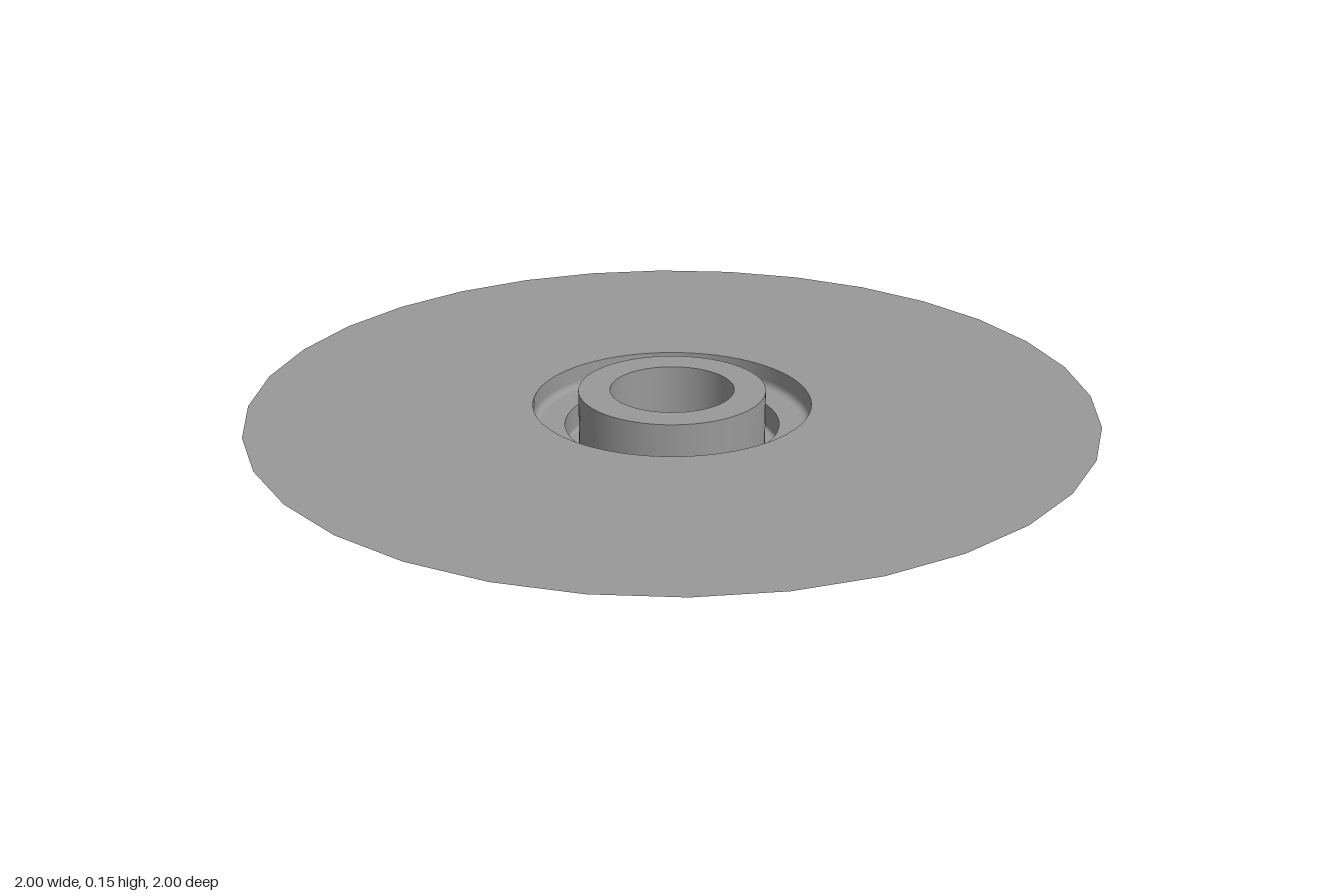
import * as THREE from 'three';
import { mergeGeometries } from 'three/addons/utils/BufferGeometryUtils.js';

const SHEET_Y = 0.116; // height of the flat sheet
const HOLE_R = 0.33;
const SEGMENTS = 64;

const material = new THREE.MeshStandardMaterial({ color: 0x999999, side: THREE.DoubleSide });

function addMesh(group, name, geometry) {
  const mesh = new THREE.Mesh(geometry, material);
  mesh.name = name;
  group.add(mesh);
  return mesh;
}

// Thin turned surface; each section is a smooth run of [radius, height] pairs,
// and the edges between sections stay crisp
function turned(...sections) {
  return mergeGeometries(sections.map((section) =>
    new THREE.LatheGeometry(section.map(([r, y]) => new THREE.Vector2(r, y)), SEGMENTS)));
}

// Rounded outer bottom corner at (r, y), from the underside up to the wall
function fillet(r, y, radius) {
  return Array.from({ length: 7 }, (_, i) => {
    const a = (i / 6) * Math.PI / 2;
    return [r - radius + radius * Math.sin(a), y + radius - radius * Math.cos(a)];
  });
}

// Flat ledge, rounded corner and wall of one recess step
function step(innerR, outerR, bottom, top, radius) {
  return [
    [[innerR, bottom], [outerR - radius, bottom]],
    fillet(outerR, bottom, radius),
    [[outerR, bottom + radius], [outerR, top]],
  ];
}

function circlePoints(r, sides) {
  return Array.from({ length: sides }, (_, i) => {
    const a = (i / sides) * Math.PI * 2;
    return new THREE.Vector2(r * Math.cos(a), r * Math.sin(a));
  });
}

export function createModel() {
  const group = new THREE.Group();
  group.name = 'recessedFitting';

  // Wide flat sheet with a round opening
  const shape = new THREE.Shape(circlePoints(1, 32));
  shape.holes.push(new THREE.Path(circlePoints(HOLE_R, SEGMENTS)));
  const sheet = addMesh(group, 'surroundingSheet', new THREE.ShapeGeometry(shape).rotateX(-Math.PI / 2));
  sheet.position.y = SHEET_Y;

  // Stepped recess hanging below the opening
  addMesh(group, 'steppedRecess', turned(
    ...step(0.222, 0.255, 0, 0.062, 0.008),
    ...step(0.255, HOLE_R, 0.062, SHEET_Y, 0.015),
  ));

  // Raised collar, open underneath
  addMesh(group, 'collar', turned(
    [[0.222, 0], [0.222, 0.147]],
    [[0.222, 0.147], [0.147, 0.147]],
  ));

  // Cup sunk into the collar
  addMesh(group, 'centreCup', turned(
    [[0.147, 0.147], [0.147, 0.015]],
    [[0.147, 0.015], [0, 0.015]],
  ));

  return group;
}
